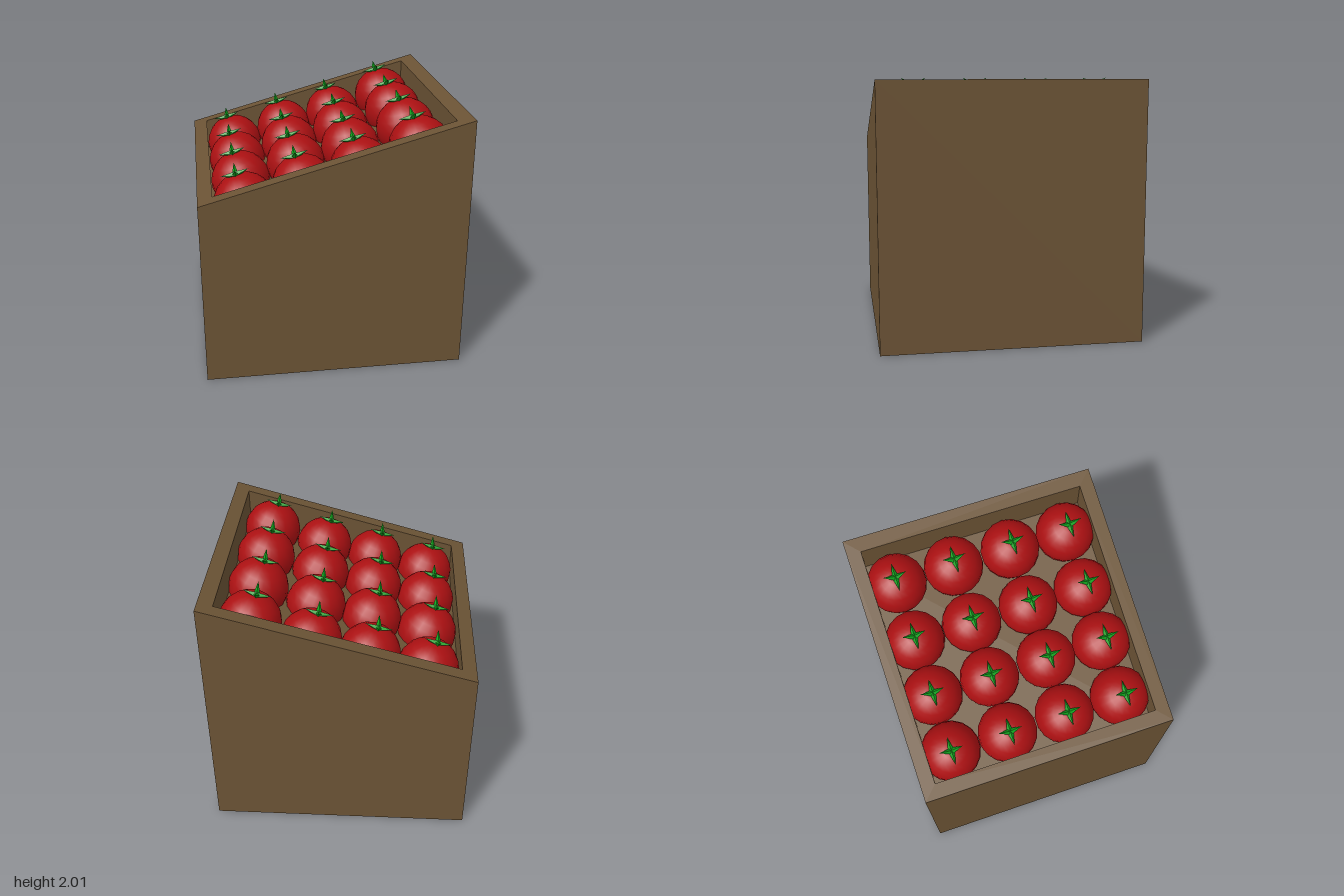
import * as THREE from 'three';

const WALL = 0.89;      // half width of the opening
const RADIUS = 0.235;   // tomato radius
const SLOPE = 0.275;    // rise of the top per unit of x
const TILT = Math.atan(SLOPE);
const rimY = (x) => 1.725 + SLOPE * x;

// Move the upper vertices of a geometry on to a plane parallel to the rim
function slopeTop(geometry, drop) {
  const p = geometry.attributes.position;
  for (let i = 0; i < p.count; i++) {
    if (p.getY(i) > 0.5) p.setY(i, rimY(p.getX(i)) - drop);
  }
  geometry.computeVertexNormals();
  return geometry;
}

function square(path, h) {
  path.moveTo(-h, -h);
  path.lineTo(h, -h);
  path.lineTo(h, h);
  path.lineTo(-h, h);
  path.closePath();
  return path;
}

// Pointed calyx leaf from the stem out to its tip
function makeLeaf(tip, material) {
  const length = tip.length();
  const geometry = new THREE.ConeGeometry(0.026, length, 4);
  geometry.translate(0, length / 2, 0);
  const leaf = new THREE.Mesh(geometry, material);
  leaf.name = 'leaf';
  leaf.quaternion.setFromUnitVectors(new THREE.Vector3(0, 1, 0), tip.clone().normalize());
  return leaf;
}

export function createModel() {
  const wood = new THREE.MeshStandardMaterial({ name: 'brown wood', color: 0x6b5335 });
  const red = new THREE.MeshStandardMaterial({ name: 'tomato red', color: 0xab1012 });
  const green = new THREE.MeshStandardMaterial({ name: 'leaf green', color: 0x10a01c });
  green.flatShading = true;

  const model = new THREE.Group();
  model.name = 'tomatoCrate';

  // Four walls with a slanted rim
  const outline = square(new THREE.Shape(), 1);
  outline.holes.push(square(new THREE.Path(), WALL));
  const wallGeometry = new THREE.ExtrudeGeometry(outline, { depth: 1, bevelEnabled: false });
  wallGeometry.rotateX(-Math.PI / 2);
  const walls = new THREE.Mesh(slopeTop(wallGeometry, 0), wood);
  walls.name = 'crateWalls';
  model.add(walls);

  // Slanted display floor, solid down to the ground
  const floorGeometry = new THREE.BoxGeometry(2 * WALL, 1, 2 * WALL).translate(0, 0.5, 0);
  const floor = new THREE.Mesh(slopeTop(floorGeometry.toNonIndexed(), 0.25), wood);
  floor.name = 'crateFloor';
  model.add(floor);

  // Tomatoes in four columns up the slope
  const columns = [[-0.65, 1.34], [-0.21, 1.46], [0.227, 1.572], [0.67, 1.72]];
  const rows = [-0.7, -0.235, 0.235, 0.7];
  const bodyGeometry = new THREE.SphereGeometry(RADIUS, 18, 12);
  const tips = [[0.108, 0.018, 0], [-0.108, 0.018, 0], [0.012, 0.058, 0.092], [0.012, 0.058, -0.092]];

  for (const [x, y] of columns) {
    for (const z of rows) {
      const tomato = new THREE.Group();
      tomato.name = 'tomato';
      const body = new THREE.Mesh(bodyGeometry, red);
      body.name = 'tomatoBody';
      const calyx = new THREE.Group();
      calyx.name = 'calyx';
      calyx.position.y = RADIUS;
      for (const t of tips) calyx.add(makeLeaf(new THREE.Vector3(...t), green));
      tomato.add(body, calyx);
      tomato.position.set(x, y, z);
      tomato.rotation.z = TILT;
      model.add(tomato);
    }
  }
  return model;
}
